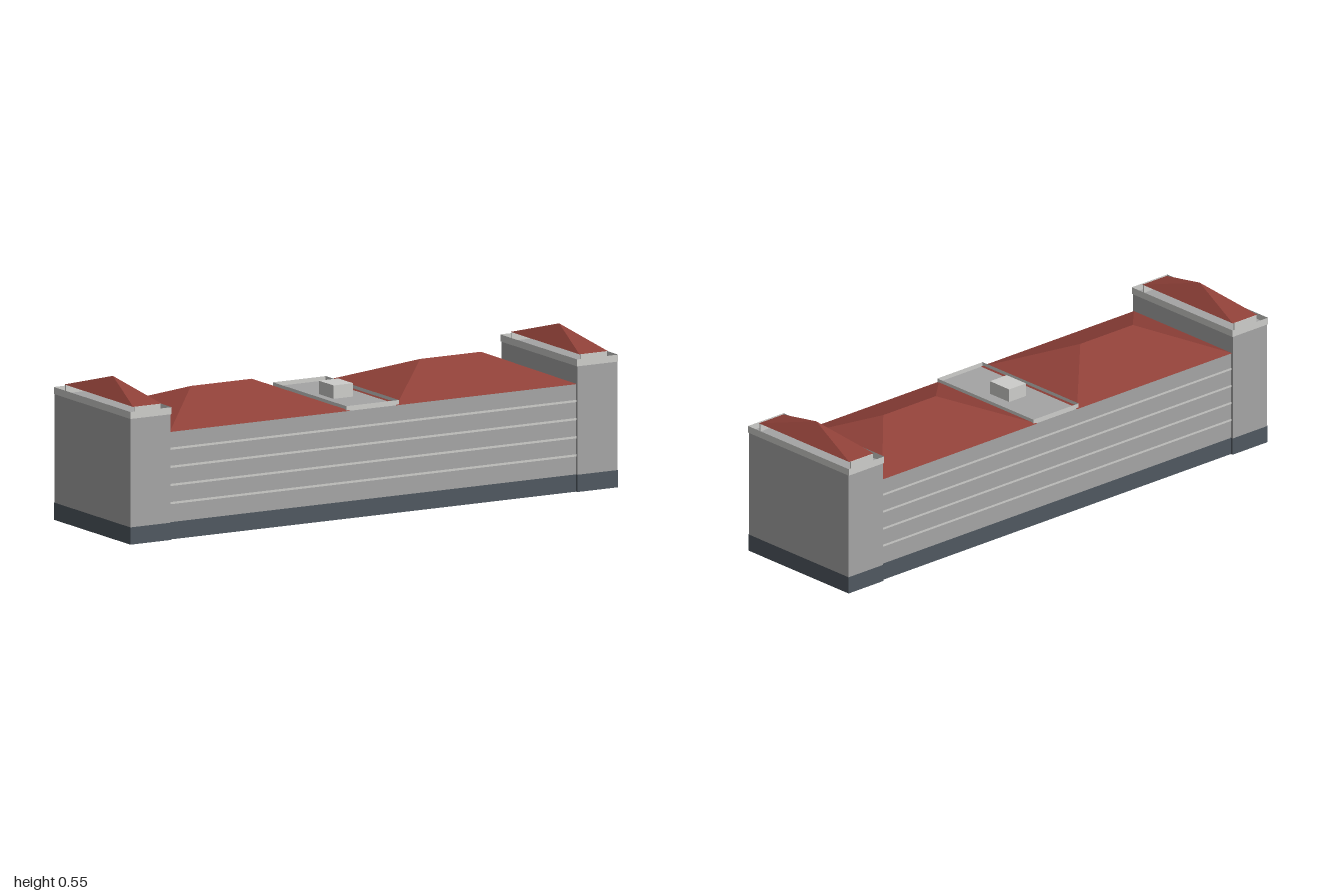
import * as THREE from 'three';

const flat = (name, color) => {
  const m = new THREE.MeshStandardMaterial({ color, side: THREE.DoubleSide, flatShading: true });
  m.name = name;
  return m;
};

// Thin-walled box keeping only the listed faces (order: +x -x +y -y +z -z)
const FACES = ['px', 'nx', 'py', 'ny', 'pz', 'nz'];
function shell(x0, x1, y0, y1, z, faces) {
  const g = new THREE.BoxGeometry(x1 - x0, y1 - y0, 2 * z);
  const all = Array.from(g.index.array);
  g.setIndex(faces.flatMap((f) => all.slice(FACES.indexOf(f) * 6, FACES.indexOf(f) * 6 + 6)));
  g.clearGroups();
  g.translate((x0 + x1) / 2, (y0 + y1) / 2, 0);
  return g;
}

// Hipped roof over a rectangle, with a ridge from r0 to r1 (r0 = r1 gives a pyramid)
function hipRoof(x0, x1, z, y0, r0, r1, y1) {
  const a = [x0, y0, z], b = [x1, y0, z], c = [x1, y0, -z], d = [x0, y0, -z];
  const e = [r0, y1, 0], f = [r1, y1, 0];
  const tris = [a, b, f, b, c, f, c, d, e, d, a, e];
  if (r1 > r0) tris.push(a, f, e, c, e, f);
  const g = new THREE.BufferGeometry();
  g.setAttribute('position', new THREE.Float32BufferAttribute(tris.flat(), 3));
  g.computeVertexNormals();
  return g;
}

export function createModel() {
  const root = new THREE.Group();
  root.name = 'building';
  const wall = flat('wallGrey', 0xa5a5a5);
  const trim = flat('trimLightGrey', 0xcdcdca);
  const base = flat('plinthSlate', 0x4f5860);
  const red = flat('roofRed', 0x8f4038);

  const add = (parent, name, geo, mat) => {
    const m = new THREE.Mesh(geo, mat);
    m.name = name;
    parent.add(m);
    return m;
  };
  const sides = ['px', 'nx', 'pz', 'nz'];

  // Long central block, open underneath
  add(root, 'mainWalls', shell(-0.835, 0.835, 0, 0.385, 0.25, ['py', 'pz', 'nz']), wall);
  add(root, 'mainPlinth', shell(-0.835, 0.835, 0, 0.062, 0.252, ['pz', 'nz']), base);

  // Pale storey bands on front and back
  for (const y of [0.13, 0.195, 0.26, 0.325]) {
    add(root, 'storeyBand', shell(-0.835, 0.835, y - 0.004, y + 0.004, 0.2515, ['pz', 'nz']), trim);
  }

  // Flat terrace between the roofs, with its low rim and rooftop box
  add(root, 'terraceRim', shell(-0.108, 0.108, 0.385, 0.403, 0.25, sides), trim);
  add(root, 'terraceFloor', shell(-0.108, 0.108, 0.38, 0.388, 0.249, ['py']), wall);
  add(root, 'rooftopBox', shell(-0.04, 0.04, 0.386, 0.436, 0.05, FACES), trim);

  // Matching wings on both sides
  for (const s of [1, -1]) {
    const wing = new THREE.Group();
    wing.name = s > 0 ? 'leftWing' : 'rightWing';
    const span = (a, b) => (s > 0 ? [a, b] : [-b, -a]);
    const [r0, r1] = span(0.345, 0.595);
    add(wing, 'mainRoof', hipRoof(...span(0.095, 0.835), 0.255, 0.386, r0, r1, 0.483), red);

    // End tower
    add(wing, 'towerWalls', shell(...span(0.835, 0.998), 0, 0.455, 0.259, [...sides, 'py']), wall);
    add(wing, 'towerPlinth', shell(...span(0.833, 0.9995), 0, 0.062, 0.2605, sides), base);
    add(wing, 'towerCornice', shell(...span(0.831, 1), 0.451, 0.476, 0.262, sides), trim);

    // Low walls carrying the raised tower roof at front and back
    for (const z of [0.235, -0.235]) {
      const g = shell(...span(0.862, 0.968), 0.455, 0.487, 0.0025, FACES);
      g.translate(0, 0, z);
      add(wing, 'roofSupport', g, trim);
    }
    add(wing, 'towerRoof', hipRoof(...span(0.857, 0.973), 0.235, 0.487, s * 0.915, s * 0.915, 0.552), red);
    root.add(wing);
  }
  return root;
}
